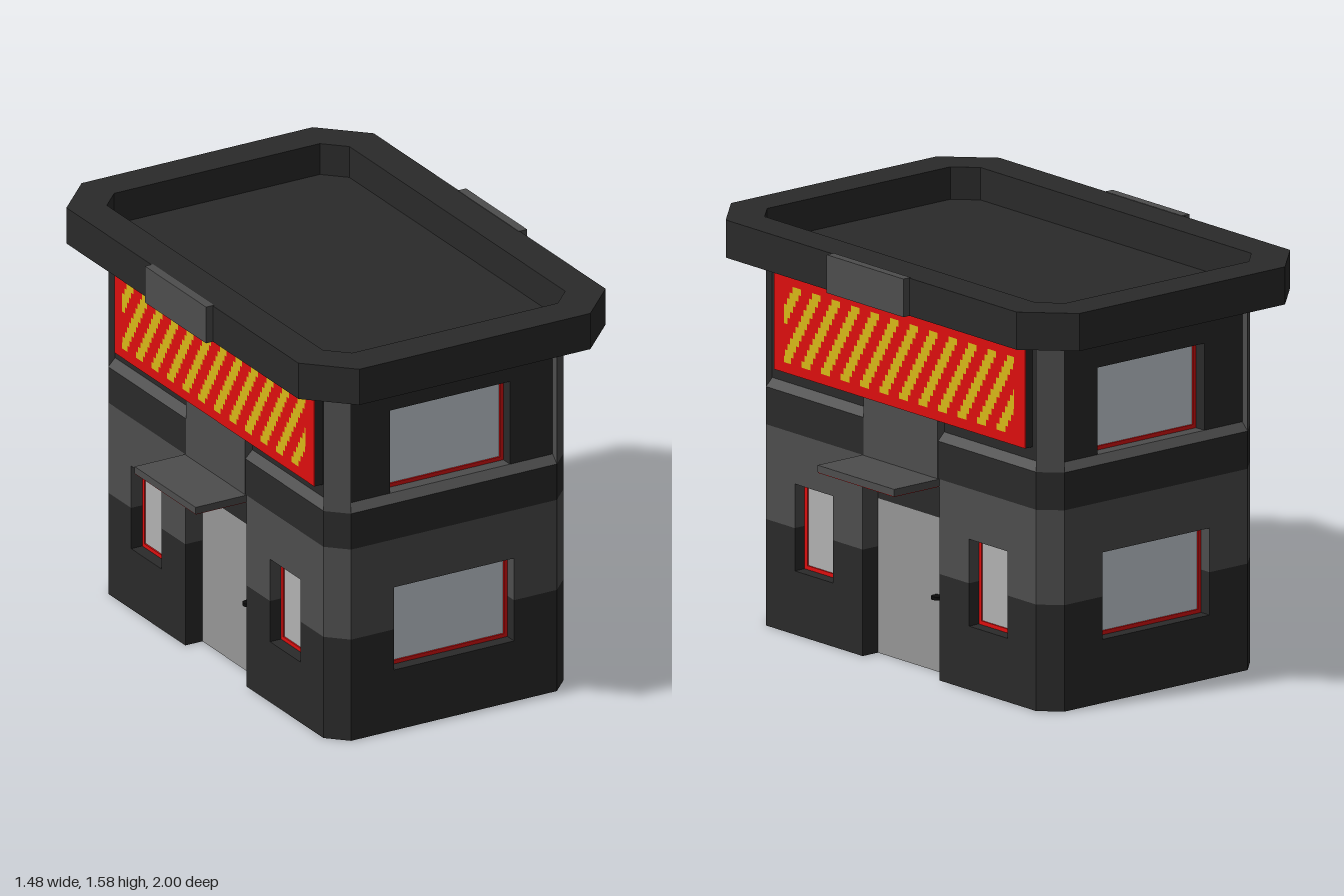
import * as THREE from 'three';
import { mergeGeometries } from 'three/addons/utils/BufferGeometryUtils.js';

const mat = (color) => new THREE.MeshStandardMaterial({ color, flatShading: true });
const DARK = mat(0x2a2a2a), GREY = mat(0x4d4d4d), RED = mat(0xdd0e0e), YELLOW = mat(0xd9b818);
const GLASS = mat(0xced6dd), PALE = mat(0xb2b2b2), DOOR = mat(0x969696), BLACK = mat(0x0c0c0c);

function add(parent, name, geometry, material) {
  const mesh = new THREE.Mesh(geometry, material);
  mesh.name = name;
  parent.add(mesh);
  return mesh;
}

// Box given by its limits on each axis
function block(parent, name, material, [x0, x1], [y0, y1], [z0, z1]) {
  const g = new THREE.BoxGeometry(x1 - x0, y1 - y0, z1 - z0);
  g.translate((x0 + x1) / 2, (y0 + y1) / 2, (z0 + z1) / 2);
  return add(parent, name, g, material);
}

// Chamfered rectangle in plan; notches cut into the side walls and the end walls
function plan(hx, hz, c, sideNotches = [], endNotch = null) {
  const half = [[hx, c - hz]];
  for (const [a, b, d] of sideNotches) half.push([hx, a], [hx - d, a], [hx - d, b], [hx, b]);
  half.push([hx, hz - c], [hx - c, hz]);
  if (endNotch) {
    const [w, d] = endNotch;
    half.push([w, hz], [w, hz - d], [-w, hz - d], [-w, hz]);
  }
  half.push([c - hx, hz]);
  const last = half.pop();
  const pts = [...half, last, ...half.map(([x, y]) => [-x, -y]), [-last[0], -last[1]]];
  return pts.map(([x, y]) => new THREE.Vector2(x, y));
}

// Extrude a plan upward from y0 to y1
function layer(parent, name, material, pts, y0, y1, hole) {
  const shape = new THREE.Shape(pts);
  if (hole) shape.holes.push(new THREE.Path(hole));
  const g = new THREE.ExtrudeGeometry(shape, { depth: y1 - y0, bevelEnabled: false });
  g.rotateX(-Math.PI / 2).translate(0, y0, 0);
  return add(parent, name, g, material);
}

// Red frame with a pane, facing +z, centred on its own origin
function windowUnit(name, w, h, pane) {
  const group = new THREE.Group();
  group.name = name;
  const rect = (a, b) => [[-a, -b], [a, -b], [a, b], [-a, b]].map((p) => new THREE.Vector2(...p));
  const shape = new THREE.Shape(rect(w / 2, h / 2));
  shape.holes.push(new THREE.Path(rect(w / 2 - 0.015, h / 2 - 0.015)));
  add(group, 'windowFrame', new THREE.ExtrudeGeometry(shape, { depth: 0.012, bevelEnabled: false }), RED);
  add(group, 'windowPane', new THREE.BoxGeometry(w - 0.02, h - 0.02, 0.006), pane).position.z = 0.003;
  return group;
}

// Stepped diagonal stripes on the +x face of the sign
function stripes(x) {
  const rows = 12, y0 = 1.04, rowH = 0.3 / rows, limit = 0.66, parts = [];
  for (let r = 0; r < rows; r++) {
    for (let k = -8; k < 8; k++) {
      const start = k * 0.112 + r * 0.0155;
      const a = Math.max(start, -limit), b = Math.min(start + 0.05, limit);
      if (b - a < 0.005) continue;
      const g = new THREE.PlaneGeometry(b - a, rowH);
      parts.push(g.rotateY(Math.PI / 2).translate(x, y0 + (r + 0.5) * rowH, -(a + b) / 2));
    }
  }
  return mergeGeometries(parts);
}

// Everything fixed to the front wall and the +x wall
function buildHalf() {
  const half = new THREE.Group();
  half.name = 'facade';

  // Front windows
  for (const [name, y, z] of [['lowerWindow', 0.4125, 0.79], ['upperWindow', 1.1175, 0.76]]) {
    const unit = windowUnit(name, 0.52, 0.335, GLASS);
    unit.position.set(0, y, z);
    half.add(unit);
  }
  // Narrow windows beside the door
  for (const z of [-0.5, 0.5]) {
    const unit = windowUnit('sideWindow', 0.22, 0.335, PALE);
    unit.position.set(0.46, 0.4125, z);
    unit.rotation.y = Math.PI / 2;
    half.add(unit);
  }

  // Entrance
  block(half, 'door', DOOR, [0.435, 0.446], [0, 0.595], [-0.22, 0.22]);
  block(half, 'transom', DARK, [0.435, 0.446], [0.595, 0.745], [-0.22, 0.22]);
  const handle = new THREE.CylinderGeometry(0.0225, 0.0225, 0.012, 16);
  add(half, 'doorHandle', handle, BLACK).position.set(0.462, 0.292, -0.138);
  block(half, 'canopy', GREY, [0.5, 0.74], [0.748, 0.775], [-0.22, 0.22]);
  block(half, 'canopyUnderside', RED, [0.521, 0.738], [0.745, 0.748], [-0.218, 0.218]);

  // Pilaster, sign and roof plate
  block(half, 'pilaster', GREY, [0.47, 0.522], [0.775, 1.43], [-0.213, 0.213]);
  block(half, 'signBacking', DARK, [0.485, 0.523], [1.0, 1.385], [-0.72, 0.72]);
  block(half, 'signPanel', RED, [0.523, 0.527], [1.0, 1.385], [-0.72, 0.72]);
  add(half, 'signStripes', stripes(0.529), YELLOW);
  block(half, 'roofPlate', GREY, [0.66, 0.695], [1.43, 1.577], [-0.22, 0.22]);
  return half;
}

export function createModel() {
  const model = new THREE.Group();
  model.name = 'shopBuilding';

  // Lower storey, stacked in coloured bands
  const door = [-0.22, 0.22, 0.08];
  const openings = [[-0.61, -0.39, 0.06], door, [0.39, 0.61, 0.06]];
  const base = (...notches) => plan(0.52, 0.85, 0.075, ...notches);
  layer(model, 'plinth', DARK, base([door]), 0, 0.245);
  layer(model, 'darkWindowBand', DARK, base(openings, [0.26, 0.06]), 0.245, 0.41);
  layer(model, 'greyWindowBand', GREY, base(openings, [0.26, 0.06]), 0.41, 0.58);
  layer(model, 'greyBand', GREY, base([door]), 0.58, 0.745);
  layer(model, 'lintelBand', GREY, base(), 0.745, 0.775);
  layer(model, 'darkBand', DARK, base(), 0.775, 0.92);

  // Sloped ledge: top edge drawn in to the upper walls
  const ledge = layer(model, 'ledge', GREY, base(), 0.92, 0.95).geometry;
  const p = ledge.attributes.position;
  for (let i = 0; i < p.count; i++) {
    if (p.getY(i) < 0.94) continue;
    p.setX(i, THREE.MathUtils.clamp(p.getX(i), -0.49, 0.49));
    p.setZ(i, THREE.MathUtils.clamp(p.getZ(i), -0.82, 0.82));
  }
  ledge.computeVertexNormals();

  // Upper storey set back between the corner posts
  layer(model, 'upperWall', DARK, plan(0.49, 0.82, 0.045, [], [0.26, 0.06]), 0.95, 1.285);
  layer(model, 'upperWallTop', DARK, plan(0.49, 0.82, 0.045), 1.285, 1.43);
  for (const sx of [-1, 1]) for (const sz of [-1, 1]) {
    const pts = [[0.445, 0.82], [0.49, 0.775], [0.52, 0.775], [0.445, 0.85]];
    layer(model, 'cornerPost', GREY, pts.map(([x, z]) => new THREE.Vector2(x * sx, z * sz)), 0.92, 1.43);
  }

  // Roof with a sunken deck
  const rim = plan(0.665, 1, 0.165), deck = plan(0.525, 0.857, 0.08);
  layer(model, 'roofParapet', DARK, rim, 1.43, 1.575, deck);
  layer(model, 'roofDeck', DARK, deck, 1.43, 1.45);

  // Same facade turned half round for the back and the other side
  const front = buildHalf();
  const back = front.clone();
  back.rotation.y = Math.PI;
  model.add(front, back);
  return model;
}
